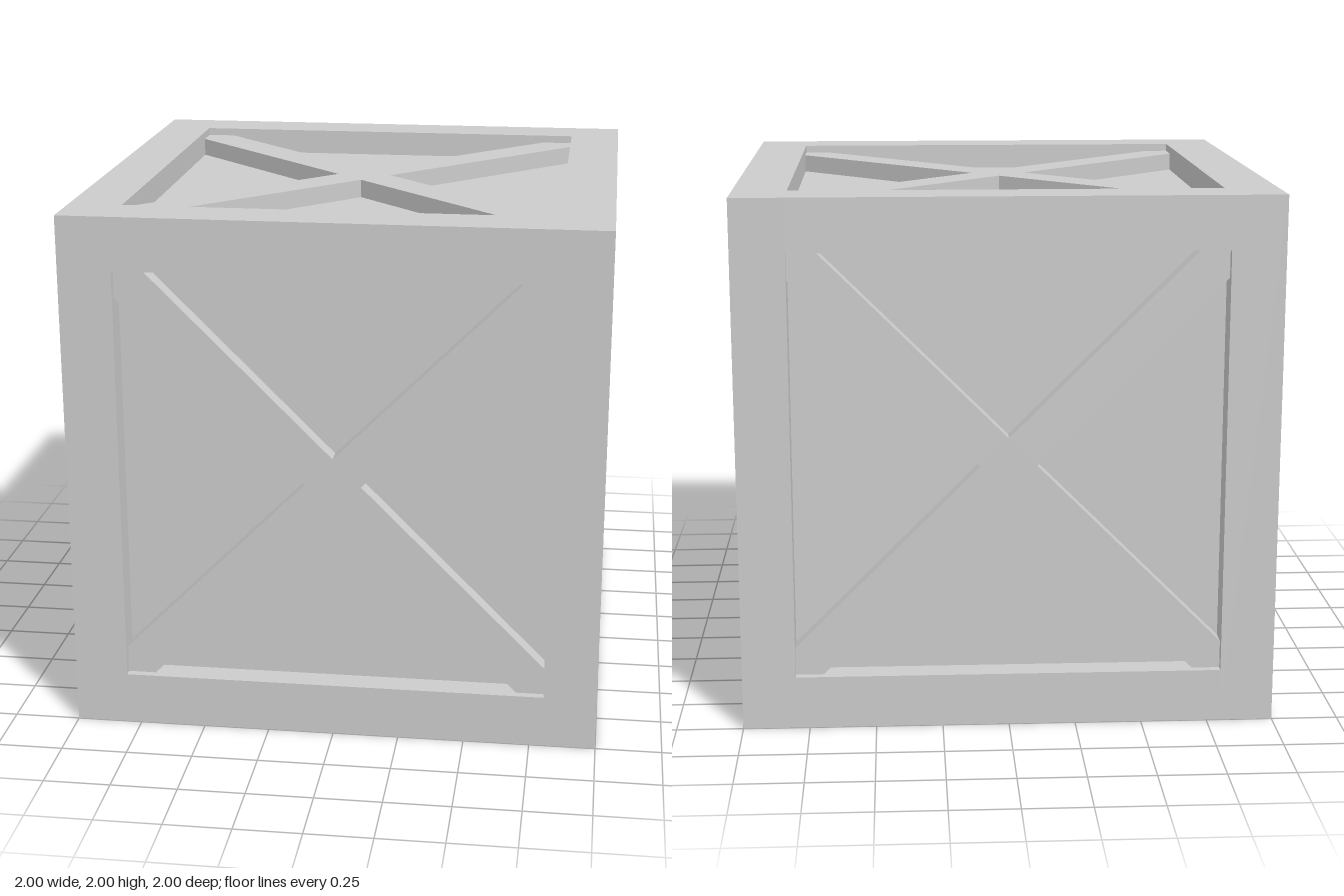
import * as THREE from 'three';

const HALF = 1;        // half the crate's side
const BEAM = 0.2;      // frame beam thickness
const INNER = HALF - BEAM;
const PANEL = 0.9;     // distance of the recessed panels from the centre
const BRACE_DEPTH = 0.07;
const W = 0.105;       // half the brace width, measured along the axes

// Outline of the two crossed planks, trimmed to the frame opening.
// a and b shift the falling and the rising plank sideways.
function crossShape(a, b) {
  const s = INNER;
  const crossing = (u, v) => [(u + v) / 2, (u - v) / 2];
  const points = [
    crossing(a + W, b + W), [s, s - b - W], [s, s], [s + b - W, s],
    crossing(a + W, b - W), [a + W - s, s], [-s, s], [-s, a - W + s],
    crossing(a - W, b - W), [-s, -s - b + W], [-s, -s], [-s + b + W, -s],
    crossing(a - W, b + W), [a - W + s, -s], [s, -s], [s, a + W - s],
  ];
  return new THREE.Shape(points.map(([x, y]) => new THREE.Vector2(x, y)));
}

export function createModel() {
  const crate = new THREE.Group();
  crate.name = 'crate';
  const material = new THREE.MeshStandardMaterial({ color: 0xcccccc, flatShading: true });

  const add = (name, geometry, parent = crate) => {
    const mesh = new THREE.Mesh(geometry, material);
    mesh.name = name;
    parent.add(mesh);
    return mesh;
  };

  // Inner box whose faces are the recessed panels
  add('panels', new THREE.BoxGeometry(2 * PANEL, 2 * PANEL, 2 * PANEL)).position.y = HALF;

  // Frame: four full-height posts, with rails fitted between them
  const frame = new THREE.Group();
  frame.name = 'frame';
  frame.position.y = HALF;
  crate.add(frame);
  const c = HALF - BEAM / 2;
  for (const p of [-c, c]) {
    for (const q of [-c, c]) {
      add('post', new THREE.BoxGeometry(BEAM, 2 * HALF, BEAM), frame).position.set(p, 0, q);
      add('crossRail', new THREE.BoxGeometry(2 * INNER, BEAM, BEAM), frame).position.set(0, p, q);
      add('sideRail', new THREE.BoxGeometry(BEAM, BEAM, 2 * INNER), frame).position.set(p, q, 0);
    }
  }

  // Crossed braces on all six panels: name, x turn, y turn, plank shifts
  const quarter = Math.PI / 2;
  const faces = [
    ['frontBrace', 0, 0, 0, 0],
    ['leftBrace', 0, quarter, 0, 0],
    ['backBrace', 0, 2 * quarter, 0, 0],
    ['rightBrace', 0, -quarter, 0, 0],
    ['topBrace', -quarter, 0, 0.005, -0.017],
    ['bottomBrace', quarter, 0, 0, 0],
  ];
  for (const [name, rx, ry, a, b] of faces) {
    const geometry = new THREE.ExtrudeGeometry(crossShape(a, b), { depth: BRACE_DEPTH, bevelEnabled: false });
    geometry.translate(0, 0, PANEL);
    const brace = add(name, geometry);
    brace.rotation.set(rx, ry, 0);
    brace.position.y = HALF;
  }

  return crate;
}
